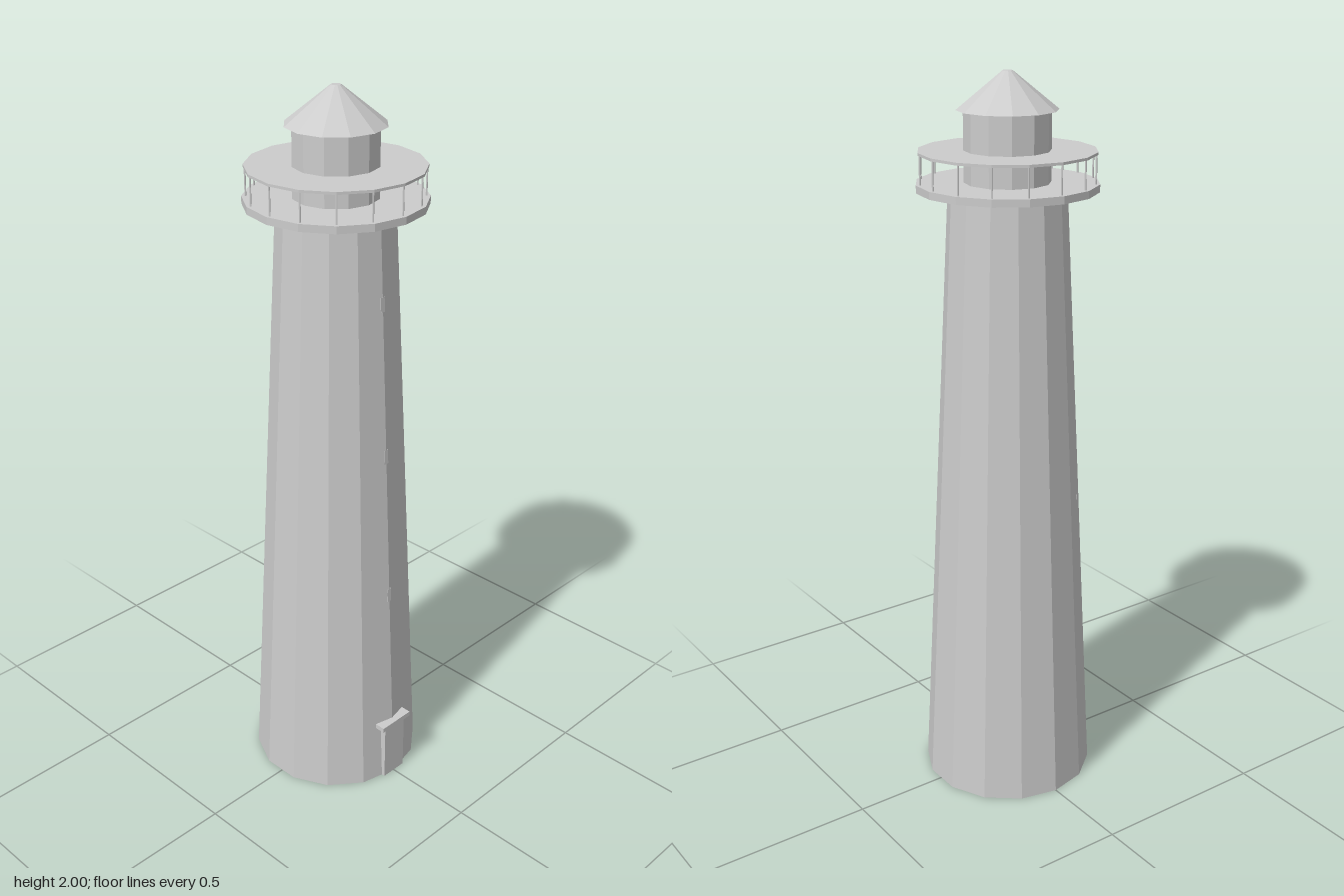
import * as THREE from 'three';

export function createModel() {
  const model = new THREE.Group();
  model.name = 'lighthouse';
  const stone = new THREE.MeshStandardMaterial({ color: 0xcccccc, flatShading: true });
  stone.name = 'pale grey';

  const add = (name, geometry, x, y, z, parent = model) => {
    const mesh = new THREE.Mesh(geometry, stone);
    mesh.name = name;
    mesh.position.set(x, y, z);
    parent.add(mesh);
    return mesh;
  };
  // Faceted upright drum between two heights
  const drum = (name, rBottom, rTop, y0, y1, sides) =>
    add(name, new THREE.CylinderGeometry(rTop, rBottom, y1 - y0, sides), 0, (y0 + y1) / 2, 0);

  const baseR = 0.24, topR = 0.156, towerH = 1.7;
  const towerRadius = (y) => baseR + (topR - baseR) * (y / towerH);

  // Main stack
  drum('tower', baseR, topR, 0, towerH, 14);
  drum('galleryDeck', 0.24, 0.24, 1.7, 1.72, 16);
  drum('lanternRoom', 0.114, 0.114, 1.72, 1.905, 12);
  drum('roof', 0.133, 0.013, 1.903, 2.0, 12);

  // Gallery railing: thin top plate carried on slim posts
  drum('railTop', 0.234, 0.234, 1.795, 1.802, 16);
  const posts = new THREE.Group();
  posts.name = 'railPosts';
  model.add(posts);
  const postGeo = new THREE.CylinderGeometry(0.0025, 0.0025, 0.078, 6);
  for (let i = 0; i < 16; i++) {
    const a = (i / 16) * Math.PI * 2;
    add('railPost', postGeo, Math.sin(a) * 0.229, 1.758, Math.cos(a) * 0.229, posts);
  }

  // Door with its lintel
  add('door', new THREE.BoxGeometry(0.08, 0.176, 0.04), 0, 0.088, 0.221);
  add('doorLintel', new THREE.BoxGeometry(0.112, 0.014, 0.05), 0, 0.183, 0.224);

  // Small windows set almost flush with the wall
  const windowGeo = new THREE.BoxGeometry(0.014, 0.04, 0.012);
  const lean = Math.atan((baseR - topR) / towerH);
  for (const y of [0.61, 1.04, 1.47]) {
    add('frontWindow', windowGeo, 0, y, towerRadius(y) - 0.006).rotation.x = -lean;
  }
  const backR = towerRadius(0.85) * 0.981 - 0.005;
  const back = add('backWindow', new THREE.BoxGeometry(0.008, 0.012, 0.012),
    -backR * Math.SQRT1_2, 0.85, -backR * Math.SQRT1_2);
  back.rotation.y = Math.PI / 4;

  // Lintel overhang at the front shifts the round body slightly back
  model.children.forEach((part) => { part.position.z -= 0.005; });
  return model;
}
